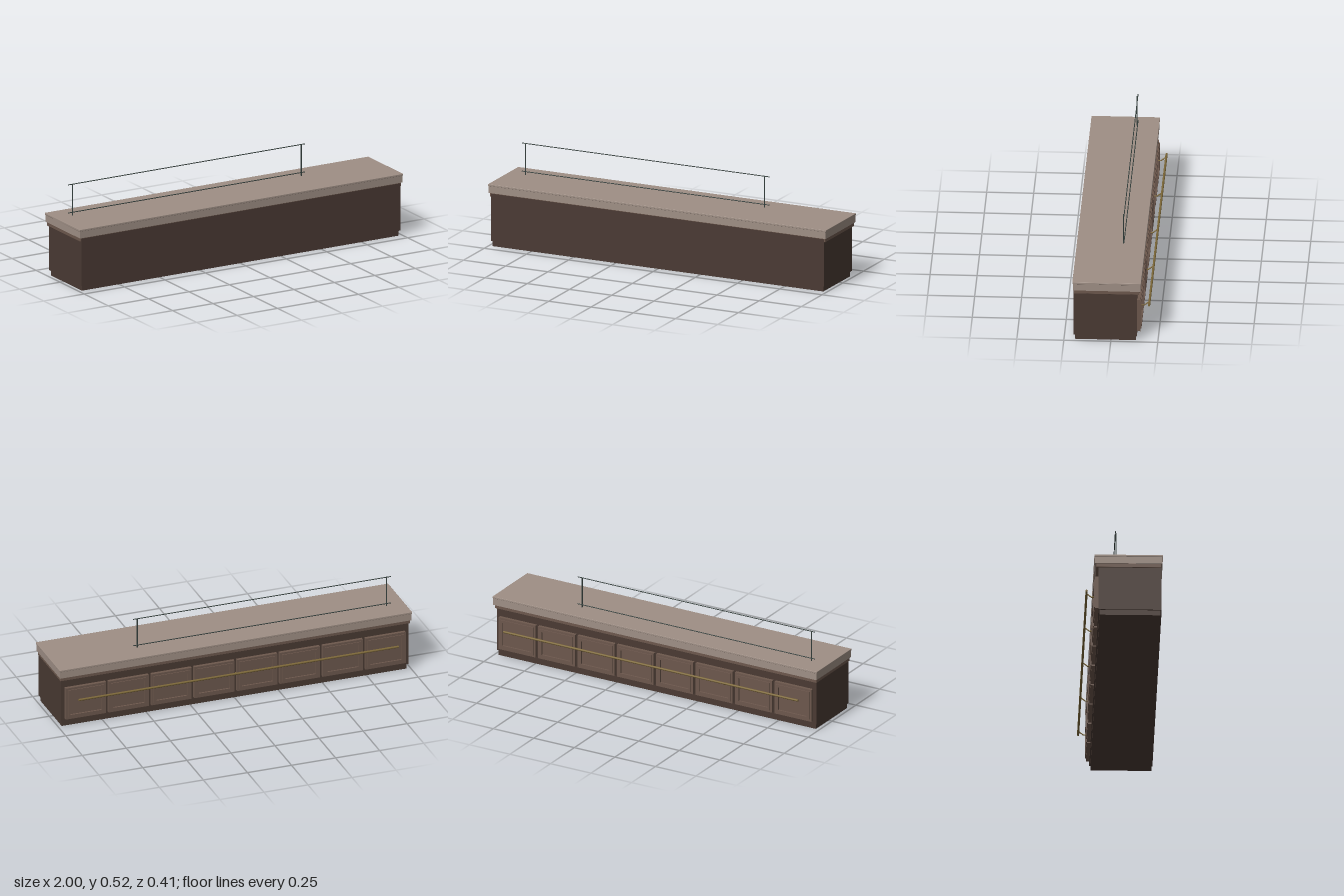
import * as THREE from 'three';
import { RoundedBoxGeometry } from 'three/addons/geometries/RoundedBoxGeometry.js';

const mat = (name, color) => {
  const m = new THREE.MeshStandardMaterial({ color });
  m.name = name;
  return m;
};

export function createModel() {
  const model = new THREE.Group();
  model.name = 'barCounter';
  const darkWood = mat('dark wood', 0x4a3a33);
  const panelWood = mat('panel wood', 0x6d584d);
  const stone = mat('counter stone', 0x9f8f85);
  const brass = mat('brass', 0x7d6838);
  const metal = mat('dark metal', 0x37423f);

  const add = (name, geometry, material, parent = model) => {
    const mesh = new THREE.Mesh(geometry, material);
    mesh.name = name;
    parent.add(mesh);
    return mesh;
  };

  // Box given by its limits on each axis; an optional radius softens the edges
  const block = (name, x0, x1, y0, y1, z0, z1, material, radius = 0) => {
    const size = [x1 - x0, y1 - y0, z1 - z0];
    const geo = radius ? new RoundedBoxGeometry(...size, 2, radius) : new THREE.BoxGeometry(...size);
    add(name, geo, material).position.set((x0 + x1) / 2, (y0 + y1) / 2, (z0 + z1) / 2);
  };

  // Carcass and counter top
  block('plinth', -0.979, 0.979, 0, 0.03, -0.132, 0.192, darkWood);
  block('body', -0.986, 0.986, 0.029, 0.275, -0.138, 0.198, darkWood);
  block('frontFascia', -0.986, 0.986, 0.275, 0.291, 0.19, 0.198, darkWood);
  block('neckMoulding', -0.992, 0.992, 0.274, 0.296, -0.15, 0.196, panelWood, 0.002);
  block('counterSlab', -0.997, 0.997, 0.295, 0.334, -0.158, 0.202, stone);
  block('counterLip', -1, 1, 0.333, 0.344, -0.16, 0.205, stone, 0.002);

  // Rectangular ring facing the back, built around its own centre
  const ring = (w, h, border, depth) => {
    const rect = (Type, a, b) => new Type([
      new THREE.Vector2(-a, -b), new THREE.Vector2(a, -b),
      new THREE.Vector2(a, b), new THREE.Vector2(-a, b),
    ]);
    const shape = rect(THREE.Shape, w / 2, h / 2);
    shape.holes.push(rect(THREE.Path, w / 2 - border, h / 2 - border));
    return new THREE.ExtrudeGeometry(shape, { depth, bevelEnabled: false });
  };

  // Eight framed panels across the back
  const frameGeo = ring(0.228, 0.184, 0.014, 0.018);
  const mouldingGeo = ring(0.204, 0.16, 0.014, 0.023);
  const fieldGeo = new THREE.BoxGeometry(0.178, 0.134, 0.014);
  for (let i = 0; i < 8; i++) {
    const panel = new THREE.Group();
    panel.name = 'backPanel';
    panel.position.set((i - 3.5) * 0.243, 0.138, -0.138);
    add('panelFrame', frameGeo, panelWood, panel).position.z = -0.018;
    add('panelMoulding', mouldingGeo, panelWood, panel).position.z = -0.023;
    add('panelField', fieldGeo, panelWood, panel).position.z = -0.007;
    model.add(panel);
  }

  // Horizontal or vertical round bar between two points
  const rod = (name, from, to, radius, material) => {
    const a = new THREE.Vector3(...from), b = new THREE.Vector3(...to);
    const dir = b.clone().sub(a);
    const mesh = add(name, new THREE.CylinderGeometry(radius, radius, dir.length(), 10), material);
    mesh.position.copy(a).add(b).multiplyScalar(0.5);
    mesh.quaternion.setFromUnitVectors(new THREE.Vector3(0, 1, 0), dir.normalize());
  };

  // Brass rail on bent brackets
  rod('brassRail', [-0.908, 0.173, -0.199], [0.908, 0.173, -0.199], 0.006, brass);
  for (const x of [-0.866, -0.439, 0, 0.439, 0.866]) {
    rod('bracketRoot', [x, 0.154, -0.15], [x, 0.154, -0.173], 0.0033, brass);
    rod('bracketArm', [x, 0.154, -0.172], [x, 0.173, -0.196], 0.0033, brass);
  }

  // Guard rail standing on the counter
  for (const x of [-0.898, 0.516]) rod('guardPost', [x, 0.343, -0.042], [x, 0.515, -0.042], 0.0032, metal);
  for (const y of [0.36, 0.516]) rod('guardRail', [-0.922, y, -0.0465], [0.542, y, -0.0465], 0.0024, metal);

  return model;
}
